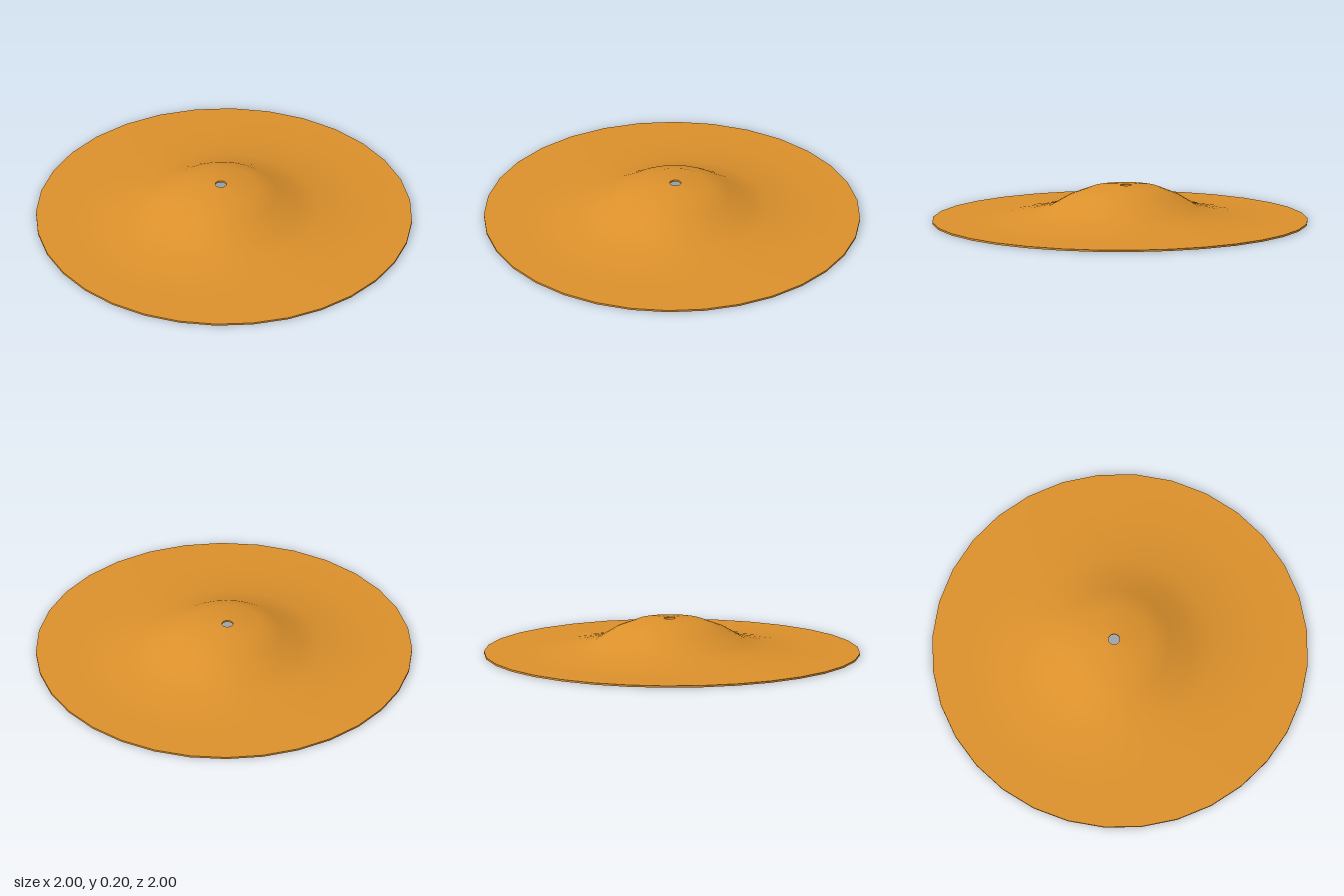
import * as THREE from 'three';

const SIDES = 32;
const THICKNESS = 0.01;

// Top profile from the centre hole to the rim: [radius, height]
const PROFILE = [
  [0.03, 0.2], [0.18, 0.187], [0.295, 0.142], [0.4, 0.079],
  [0.51, 0.052], [0.64, 0.028], [0.79, 0.014], [1, 0.01],
];

export function createModel() {
  const cymbal = new THREE.Group();
  cymbal.name = 'cymbal';
  const brass = new THREE.MeshStandardMaterial({ color: 0xdb902b });

  const top = PROFILE.map(([r, y]) => new THREE.Vector2(r, y));
  const under = top.map((p) => new THREE.Vector2(p.x, p.y - THICKNESS));
  const last = top.length - 1;

  // Each surface is its own lathe, so the rim and hole edges stay sharp
  function addSurface(name, points) {
    const geometry = new THREE.LatheGeometry(points, SIDES);
    const pos = geometry.attributes.position;
    // The bell sits slightly off centre; the shift fades out at the rim
    for (let i = 0; i < pos.count; i++) {
      const fade = 1 - Math.min(1, Math.hypot(pos.getX(i), pos.getZ(i)));
      pos.setX(i, pos.getX(i) + 0.006 * fade);
      pos.setZ(i, pos.getZ(i) - 0.032 * fade);
    }
    const mesh = new THREE.Mesh(geometry, brass);
    mesh.name = name;
    cymbal.add(mesh);
  }

  addSurface('topSurface', [...top].reverse());
  addSurface('underside', under);
  addSurface('rim', [under[last], top[last]]);
  addSurface('holeWall', [top[0], under[0]]);

  return cymbal;
}
